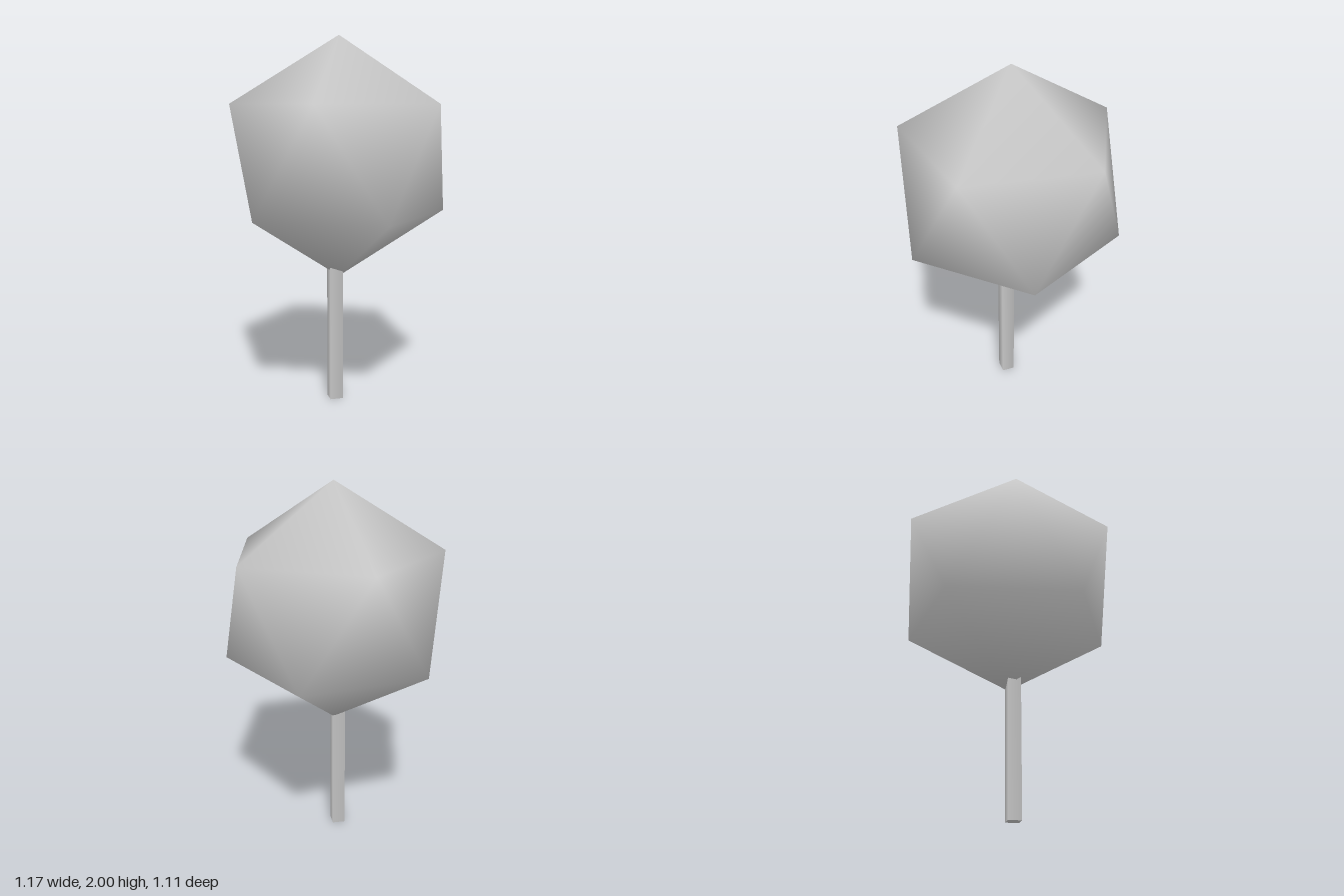
import * as THREE from 'three';

// Icosahedron standing on a corner, with shared vertices so it shades smoothly
function icosahedron(radius) {
  const ringY = radius / Math.sqrt(5);
  const ringR = ringY * 2;
  const points = [0, radius, 0, 0, -radius, 0]; // top and bottom tips
  const upper = k => 2 + (k % 5) * 2;
  const lower = k => 3 + (k % 5) * 2;
  for (let k = 0; k < 5; k++) {
    const a = (k * 2 * Math.PI) / 5;
    const b = a + Math.PI / 5;
    points.push(ringR * Math.cos(a), ringY, -ringR * Math.sin(a));
    points.push(ringR * Math.cos(b), -ringY, -ringR * Math.sin(b));
  }
  const faces = [];
  for (let k = 0; k < 5; k++) {
    faces.push(0, upper(k), upper(k + 1)); // crown
    faces.push(upper(k), lower(k), upper(k + 1)); // belt
    faces.push(lower(k), lower(k + 1), upper(k + 1));
    faces.push(1, lower(k + 1), lower(k)); // underside
  }
  const geometry = new THREE.BufferGeometry();
  geometry.setAttribute('position', new THREE.Float32BufferAttribute(points, 3));
  geometry.setIndex(faces);
  geometry.computeVertexNormals();
  return geometry;
}

export function createModel() {
  const group = new THREE.Group();
  group.name = 'tree';
  const material = new THREE.MeshStandardMaterial({ color: 0xcccccc });

  // Foliage ball
  const radius = 0.653;
  const foliage = new THREE.Mesh(icosahedron(radius), material);
  foliage.name = 'foliage';
  foliage.position.y = 2 - radius;
  group.add(foliage);

  // Four-sided trunk, slightly off centre, running up into the foliage
  const height = 0.85;
  const trunk = new THREE.Mesh(new THREE.CylinderGeometry(0.05, 0.05, height, 4), material);
  trunk.name = 'trunk';
  trunk.position.set(-0.005, height / 2, 0.035);
  group.add(trunk);

  return group;
}
